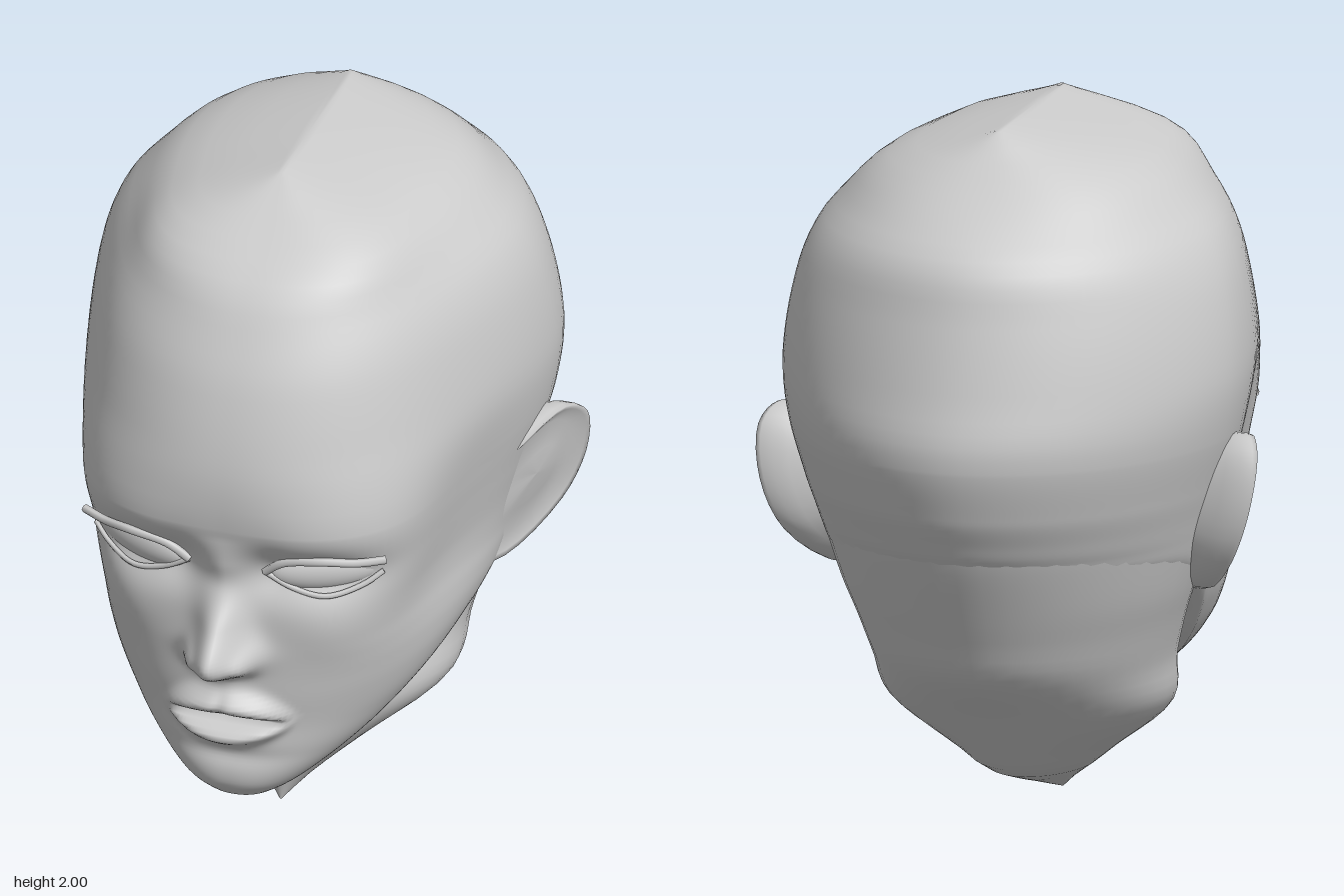
import * as THREE from 'three';

const material = new THREE.MeshStandardMaterial({ color: 0xcccccc, side: THREE.DoubleSide });
const { smoothstep } = THREE.MathUtils;

// Smooth lookup in a table of rows [y, a, b, ...] with falling y
function sample(table, y, col) {
  const n = table.length - 1;
  y = Math.min(table[0][0], Math.max(table[n][0], y));
  let i = 0;
  while (i < n - 1 && y < table[i + 1][0]) i++;
  const slope = k => {
    const a = table[Math.max(0, k - 1)], b = table[Math.min(n, k + 1)];
    return (b[col] - a[col]) / (b[0] - a[0]);
  };
  const [p, q] = [table[i], table[i + 1]];
  const h = q[0] - p[0], t = (y - p[0]) / h, t2 = t * t, t3 = t2 * t;
  return (2 * t3 - 3 * t2 + 1) * p[col] + (t3 - 2 * t2 + t) * h * slope(i)
    + (3 * t2 - 2 * t3) * q[col] + (t3 - t2) * h * slope(i + 1);
}

// Skin over closed rings of equal length, listed from top to bottom
function loft(name, rings) {
  const n = rings[0].length, index = [];
  for (let i = 0; i < rings.length - 1; i++) {
    for (let j = 0; j < n; j++) {
      const a = i * n + j, b = i * n + (j + 1) % n;
      index.push(a, a + n, b, b, a + n, b + n);
    }
  }
  const geometry = new THREE.BufferGeometry().setFromPoints(rings.flat());
  geometry.setIndex(index);
  geometry.computeVertexNormals();
  return named(name, geometry);
}

function named(name, geometry) {
  const mesh = new THREE.Mesh(geometry, material);
  mesh.name = name;
  return mesh;
}

// Head sections: y, half width, z of widest point, front z, back z
const HEAD = [
  [2.0, 0.02, -0.06, 0.24, -0.36], [1.95, 0.22, -0.08, 0.34, -0.43],
  [1.91, 0.34, -0.09, 0.41, -0.48], [1.86, 0.42, -0.11, 0.5, -0.54],
  [1.8, 0.48, -0.12, 0.575, -0.62], [1.7, 0.565, -0.14, 0.64, -0.74],
  [1.56, 0.62, -0.17, 0.71, -0.79], [1.34, 0.65, -0.2, 0.77, -0.85],
  [1.18, 0.635, -0.2, 0.775, -0.885], [1.0, 0.59, -0.18, 0.74, -0.84],
  [0.92, 0.568, -0.165, 0.733, -0.8], [0.86, 0.553, -0.15, 0.73, -0.765],
  [0.8, 0.54, -0.13, 0.728, -0.7], [0.74, 0.53, -0.1, 0.726, -0.45],
  [0.68, 0.515, -0.07, 0.724, -0.25], [0.6, 0.48, 0, 0.72, -0.12],
  [0.5, 0.42, 0.1, 0.71, -0.02], [0.4, 0.33, 0.25, 0.71, 0.07],
  [0.3, 0.21, 0.38, 0.705, 0.2], [0.24, 0.12, 0.45, 0.65, 0.3],
  [0.22, 0.06, 0.47, 0.61, 0.35],
];

const NECK = [
  [0.98, 0.57, -0.18, 0, -0.815], [0.9, 0.556, -0.16, 0.02, -0.782],
  [0.84, 0.543, -0.15, 0.04, -0.758], [0.7, 0.5, -0.15, 0.1, -0.69],
  [0.6, 0.465, -0.13, 0.14, -0.64], [0.48, 0.43, -0.1, 0.2, -0.575],
  [0.33, 0.4, -0.05, 0.26, -0.41], [0.18, 0.22, 0.02, 0.29, -0.26],
  [0.13, 0.16, 0.04, 0.28, -0.2], [0.06, 0.07, 0.13, 0.26, 0.03],
  [0.0, 0.003, 0.24, 0.243, 0.237],
];

// Height of the nose ridge above the face
const NOSE = [
  [1.12, 0], [1.03, 0.015], [0.95, 0.02], [0.85, 0.1], [0.77, 0.165],
  [0.73, 0.157], [0.7, 0.105], [0.67, 0.04], [0.64, 0.02], [0.6, 0],
];

const bump = (v, centre, size) => Math.exp(-(((v - centre) / size) ** 2));

// Relief of the features on the front of the face
function relief(x, y) {
  const ax = Math.abs(x);
  const lip = Math.max(0, 1 - (ax / 0.19) ** 2) ** 0.8;       // lips thin out to the corners
  return sample(NOSE, y, 1) * bump(ax, 0, 0.06 + 0.02 * bump(y, 0.74, 0.07))
    + 0.035 * bump(ax, 0.078, 0.028) * bump(y, 0.735, 0.04)    // nostril wings
    - 0.055 * bump(ax, 0.26, 0.16) * bump(y, 1.0, 0.075)       // eye sockets
    - 0.02 * bump(ax, 0.13, 0.06) * bump(y, 1.01, 0.08)        // inner eye corners
    + 0.006 * bump(ax, 0.26, 0.18) * bump(y, 1.14, 0.07)       // brows
    + 0.015 * bump(ax, 0.32, 0.12) * bump(y, 0.82, 0.1)        // cheeks
    + lip * (0.07 * bump(y, 0.522 + 0.06 * lip, 0.015 + 0.024 * lip) * (1 - 0.12 * bump(ax, 0, 0.02))
      - 0.035 * bump(y, 0.52, 0.014)                           // mouth slit
      + 0.06 * bump(y, 0.522 - 0.046 * lip, 0.012 + 0.022 * lip))
    - 0.01 * bump(ax, 0, 0.14) * bump(y, 0.4, 0.03);
}

// Squareness of the sections: flatter across the eyes and at the crown
const crown = y => smoothstep(y, 1.72, 1.95);
const frontPower = y => 2.35 - 0.2 * smoothstep(y, 1.1, 1.4) + 0.6 * bump(y, 0.95, 0.3) + 0.8 * crown(y);
const backPower = y => 1.84 + 0.5 * crown(y);

// Narrowing of the temples; u runs from the widest point (0) to the front (1)
const pinch = (u, y) => 1 - Math.sin(Math.PI * u) ** 2
  * (0.1 * smoothstep(y, 0.5, 0.9) - 0.05 * smoothstep(y, 1.1, 1.4));

// z of the face surface at a given x and y
function faceZ(x, y) {
  const [w, mid, front] = [1, 2, 3].map(c => sample(HEAD, y, c));
  const p = frontPower(y);
  const depth = s => Math.max(0, 1 - Math.abs(s / w) ** p) ** (1 / p);
  const k = depth(x / pinch(depth(x), y));
  return mid + (front - mid) * k + relief(x, y);
}

// One horizontal egg-shaped ring, with points gathered towards the front
function eggRing(table, y, count, gather, isFace) {
  const [w, mid, front, back] = [1, 2, 3, 4].map(c => sample(table, y, c));
  return Array.from({ length: count }, (_, j) => {
    const t = (j / count) * Math.PI * 2, angle = t - gather * Math.sin(t);
    const s = Math.sin(angle), c = Math.cos(angle);
    const p = c < 0 ? backPower(y) : isFace ? frontPower(y) : 2;
    const r = (Math.abs(s) ** p + Math.abs(c) ** p) ** (-1 / p);
    let x = w * r * s;
    let z = mid + (c > 0 ? front - mid : mid - back) * r * c;
    if (isFace && c > 0) {
      x *= pinch(r * c, y);
      z += relief(x, y) * smoothstep(c, 0.1, 0.5);
    }
    return new THREE.Vector3(x, y, z);
  });
}

function flatEnd(ring) {
  const centre = ring.reduce((sum, p) => sum.add(p), new THREE.Vector3()).divideScalar(ring.length);
  return ring.map(() => centre.clone());
}

function buildHead() {
  const rings = [];
  for (let i = 0; i < 24; i++) rings.push(eggRing(HEAD, 2 - 0.85 * i / 24, 128, 0.6, true));
  for (let i = 0; i <= 84; i++) rings.push(eggRing(HEAD, 1.15 - 0.93 * i / 84, 128, 0.6, true));
  return loft('head', [flatEnd(rings[0]), ...rings, flatEnd(rings[rings.length - 1])]);
}

function buildNeck() {
  const rings = [];
  for (let i = 0; i <= 32; i++) rings.push(eggRing(NECK, 0.98 * (1 - i / 32), 48, 0, false));
  return loft('neck', rings);
}

// Ear: a flared rim, a shallow bowl inside it and a thick back that runs into the head
function buildEar(side) {
  const rim = new THREE.CatmullRomCurve3([
    [0.61, 1.09, -0.06], [0.69, 1.15, -0.19], [0.725, 1.1, -0.27], [0.71, 0.95, -0.305],
    [0.65, 0.8, -0.27], [0.535, 0.68, -0.11], [0.48, 0.73, 0.03], [0.5, 0.95, 0.06],
  ].map(p => new THREE.Vector3(...p)), true).getPoints(32).slice(0, 32);
  const centre = new THREE.Vector3(0.625, 0.94, -0.15);
  // scale towards the centre, then shift in x
  const steps = [[0, -0.01], [0.4, -0.012], [0.75, -0.022], [0.92, -0.004], [0.98, 0],
    [1, -0.015], [1, -0.05], [0.95, -0.09], [0.82, -0.14], [0.7, -0.2]];
  const rings = steps.map(([k, shift]) => {
    const ring = rim.map(p => {
      const q = centre.clone().lerp(p, k);
      return q.set(side * (q.x + shift), q.y, q.z);
    });
    return side > 0 ? ring.reverse() : ring;
  });
  return loft(side > 0 ? 'leftEar' : 'rightEar', rings);
}

// Thin lid following the face, through points of x, y and lift
function buildLid(name, side, points, radius) {
  const curve = new THREE.CatmullRomCurve3(points.map(([x, y, lift]) =>
    new THREE.Vector3(side * x, y, faceZ(x, y) + lift)));
  return named(name, new THREE.TubeGeometry(curve, 24, radius, 6));
}

function buildEye(side) {
  const eye = new THREE.Group();
  eye.name = side > 0 ? 'leftEye' : 'rightEye';
  const ball = named('eyeball', new THREE.SphereGeometry(1, 32, 20));
  ball.scale.set(0.155, 0.06, 0.045);
  ball.position.set(side * 0.265, 1.0, faceZ(0.265, 1.0) - 0.025);
  ball.rotation.set(0, side * 0.4, side * 0.06);
  eye.add(ball,
    buildLid('upperLid', side, [[0.11, 1.0, 0.003], [0.17, 1.045, 0.01], [0.28, 1.065, 0.015],
      [0.37, 1.055, 0.02], [0.44, 1.06, 0.05]], 0.012),
    buildLid('lowerLid', side, [[0.11, 1.0, 0.003], [0.19, 0.958, 0.006], [0.28, 0.94, 0.008],
      [0.37, 0.965, 0.008], [0.42, 1.0, 0.012]], 0.008));
  return eye;
}

export function createModel() {
  const model = new THREE.Group();
  model.name = 'headBust';
  model.add(buildHead(), buildNeck());
  for (const side of [1, -1]) model.add(buildEar(side), buildEye(side));
  return model;
}
